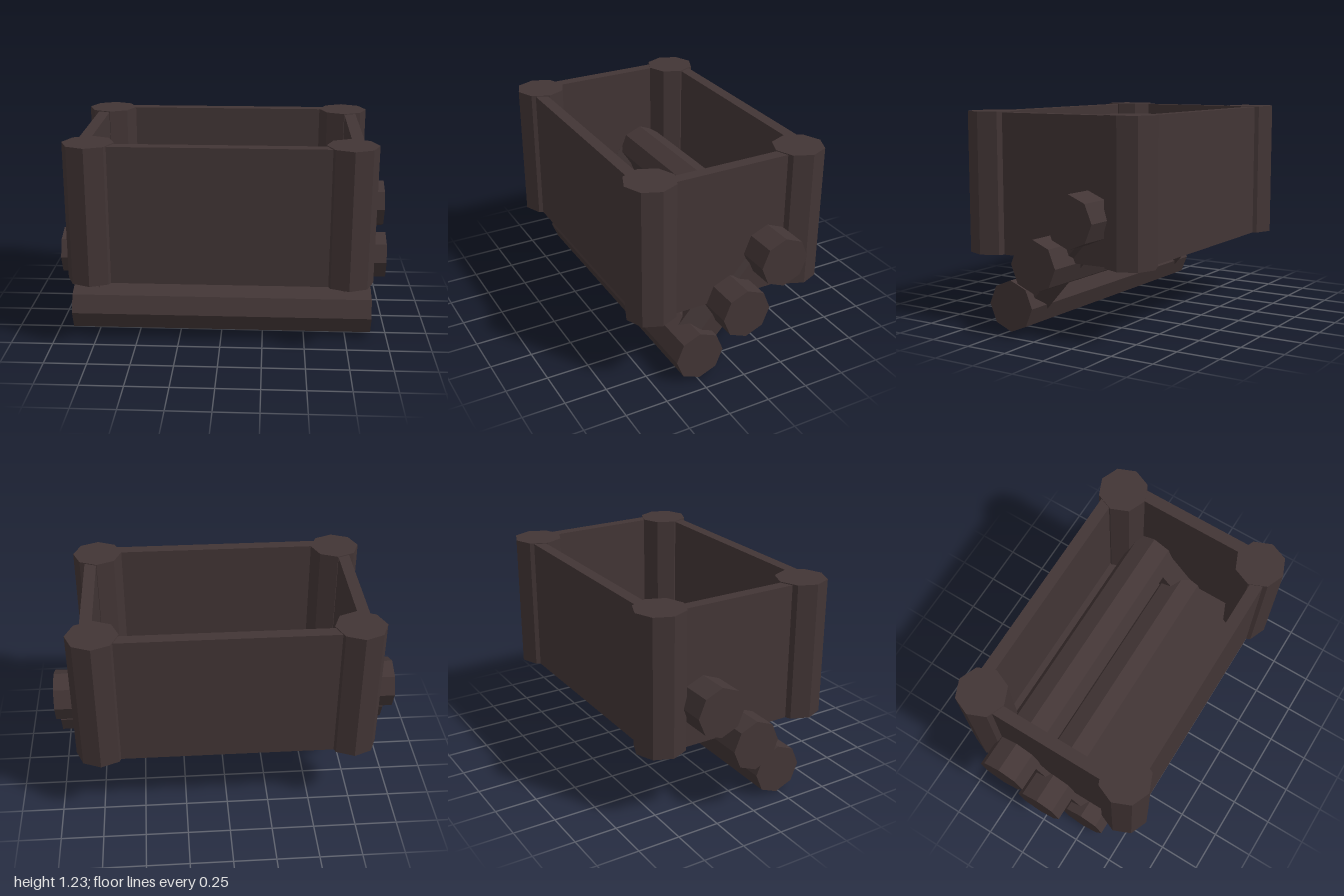
import * as THREE from 'three';

export function createModel() {
  const model = new THREE.Group();
  model.name = 'logCrate';
  const wood = new THREE.MeshStandardMaterial({ color: 0x423535, flatShading: true, side: THREE.DoubleSide });
  wood.name = 'darkWood';

  const add = (name, geometry, x, y, z) => {
    const mesh = new THREE.Mesh(geometry, wood);
    mesh.name = name;
    mesh.position.set(x, y, z);
    model.add(mesh);
    return mesh;
  };

  const bottom = 0.42, top = 1.235, wallTop = 1.23;
  const postX = 0.74, postZ = 0.463, radius = 0.148;
  const wallHeight = wallTop - bottom, wallY = (wallTop + bottom) / 2;

  // Walls and floor of the open box
  for (const s of [1, -1]) {
    add(s > 0 ? 'frontWall' : 'backWall', new THREE.BoxGeometry(2 * postX, wallHeight, 0.07), 0, wallY, s * 0.508);
    add(s > 0 ? 'leftWall' : 'rightWall', new THREE.BoxGeometry(0.07, wallHeight, 2 * postZ), s * 0.778, wallY, 0);
  }
  add('floor', new THREE.BoxGeometry(1.49, 0.07, 0.95), 0, bottom + 0.035, 0);

  // Octagonal corner posts, hollowed slightly underneath
  for (const sx of [1, -1]) {
    for (const sz of [1, -1]) {
      const name = (sz > 0 ? 'front' : 'back') + (sx > 0 ? 'Left' : 'Right') + 'Post';
      add(name, new THREE.CylinderGeometry(radius, radius, top - bottom, 8, 1, true), sx * postX, (top + bottom) / 2, sz * postZ);
      const cap = new THREE.CylinderGeometry(radius, radius, top - bottom - 0.04, 8);
      add(name + 'Core', cap, sx * postX, (top + bottom + 0.04) / 2, sz * postZ);
    }
  }

  // Three stepped cross logs: [name, length, y, z]
  const logs = [
    ['lowerLog', 1.8, 0.15, 0.235],
    ['middleLog', 2, 0.418, 0],
    ['upperLog', 2, 0.68, -0.235],
  ];
  for (const [name, length, y, z] of logs) {
    add(name, new THREE.CylinderGeometry(radius, radius, length, 8), 0, y, z).rotation.z = Math.PI / 2;
  }

  // Hexagonal diagonal beams joining the logs
  const dy = logs[2][2] - logs[0][2], dz = logs[2][3] - logs[0][3];
  for (const s of [1, -1]) {
    const beam = add(s > 0 ? 'leftBeam' : 'rightBeam',
      new THREE.CylinderGeometry(0.122, 0.122, Math.hypot(dy, dz), 6), s * postX, logs[0][2] + dy / 2, 0);
    beam.rotation.x = Math.atan2(dz, dy);
  }
  return model;
}
